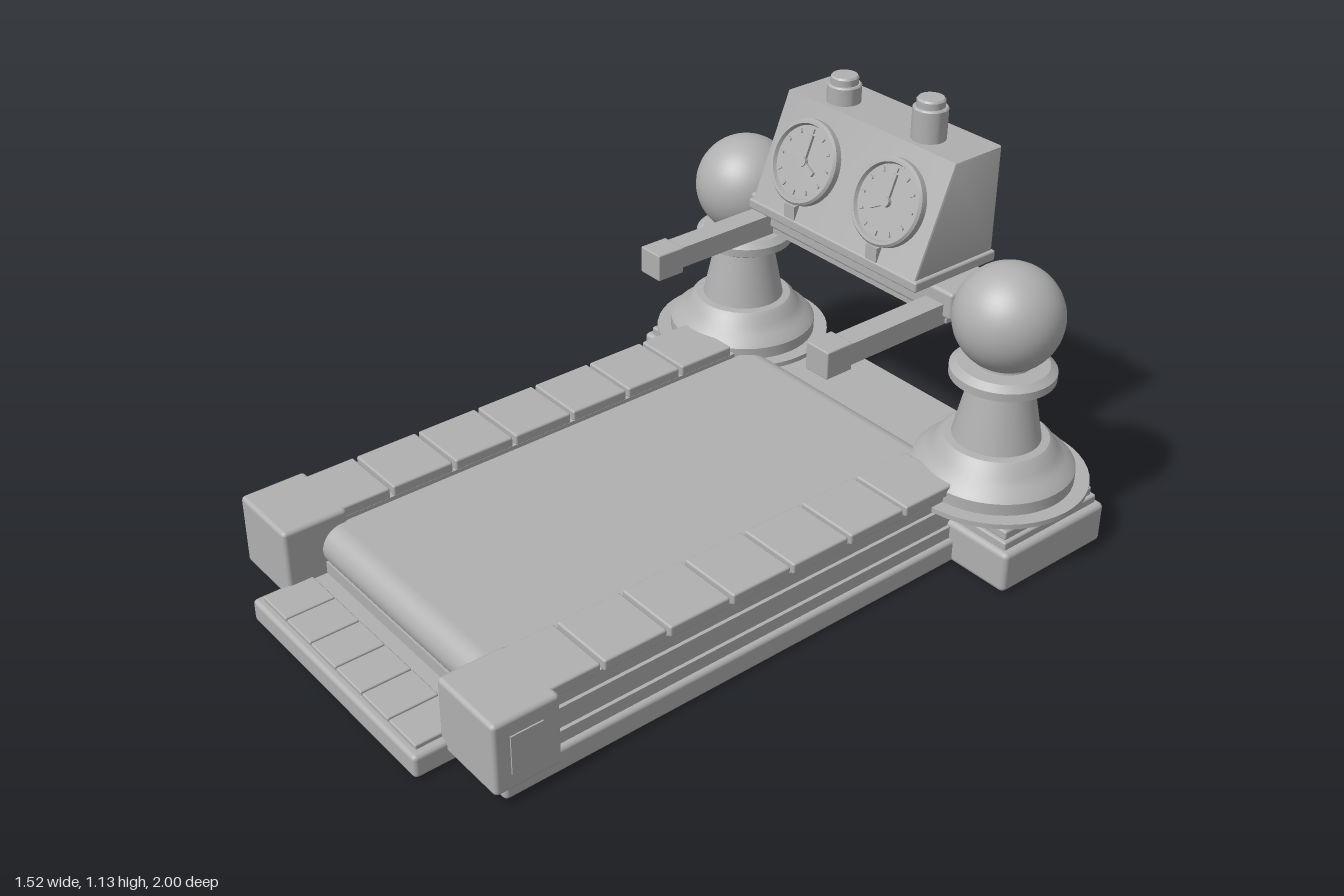
import * as THREE from 'three';
import { RoundedBoxGeometry } from 'three/addons/geometries/RoundedBoxGeometry.js';
import { toCreasedNormals } from 'three/addons/utils/BufferGeometryUtils.js';

export function createModel() {
  const grey = new THREE.MeshStandardMaterial({ color: 0xb0b0b0 });
  grey.name = 'plain grey';
  const model = new THREE.Group();
  model.name = 'treadmill';

  const add = (parent, name, geometry, x = 0, y = 0, z = 0) => {
    const mesh = new THREE.Mesh(geometry, grey);
    mesh.name = name;
    mesh.position.set(x, y, z);
    parent.add(mesh);
    return mesh;
  };
  // Box given by its limits on each axis, with softened edges when r > 0
  const block = (parent, name, [x0, x1], [y0, y1], [z0, z1], r = 0) => {
    const size = [x1 - x0, y1 - y0, z1 - z0];
    const geometry = r ? new RoundedBoxGeometry(...size, 2, r) : new THREE.BoxGeometry(...size);
    return add(parent, name, geometry, (x0 + x1) / 2, (y0 + y1) / 2, (z0 + z1) / 2);
  };
  const lathe = (points, segments = 48) => toCreasedNormals(
    new THREE.LatheGeometry(points.map(([r, y]) => new THREE.Vector2(r, y)), segments), 0.5);

  // Deck: stacked slabs
  block(model, 'deckBase', [-0.56, 0.56], [0, 0.07], [-0.6, 0.88], 0.012);
  block(model, 'deckLower', [-0.545, 0.545], [0.065, 0.105], [-0.6, 0.8]);
  block(model, 'deckMiddle', [-0.535, 0.535], [0.1, 0.135], [-0.6, 0.74]);

  // Running belt with a roller at each end
  block(model, 'belt', [-0.35, 0.35], [0.13, 0.2], [-0.62, 0.745]);
  for (const z of [-0.62, 0.745]) {
    const roller = add(model, 'roller', new THREE.CylinderGeometry(0.06, 0.06, 0.7, 32), 0, 0.14, z);
    roller.rotation.z = Math.PI / 2;
  }

  // Front step with tread tiles
  block(model, 'frontStep', [-0.375, 0.375], [0, 0.065], [0.84, 1], 0.012);
  for (let i = 0; i < 6; i++) {
    const x = -0.354 + i * 0.118;
    block(model, 'stepTile', [x + 0.002, x + 0.116], [0.06, 0.077], [0.84, 0.98], 0.004);
  }

  // Rear foot with two tiers
  block(model, 'rearFoot', [-0.74, 0.74], [0, 0.12], [-0.935, -0.55], 0.015);
  block(model, 'rearFootTier', [-0.72, 0.72], [0.115, 0.143], [-0.92, -0.565], 0.006);
  block(model, 'rearFootTop', [-0.71, 0.71], [0.14, 0.168], [-0.91, -0.575], 0.006);

  // Turned pillar profile from the wide flange to the neck
  const pillar = lathe([
    [0, 0.172], [0.255, 0.172], [0.255, 0.186], [0.215, 0.186], [0.215, 0.22], [0.203, 0.234],
    [0.185, 0.247], [0.165, 0.266], [0.153, 0.288], [0.14, 0.299], [0.118, 0.301],
    [0.086, 0.455], [0.1, 0.46], [0.14, 0.482], [0.14, 0.505], [0.12, 0.52], [0.075, 0.522], [0.07, 0.56],
  ]);

  for (const side of [-1, 1]) {
    const span = (a, b) => (side > 0 ? [a, b] : [-b, -a]);

    // Side rail, its top tiles and the front corner block
    block(model, 'sideRail', span(0.35, 0.54), [0.13, 0.168], [-0.58, 0.74]);
    block(model, 'sideRailTop', span(0.355, 0.53), [0.165, 0.208], [-0.58, 0.74]);
    for (let i = 0; i < 7; i++) {
      const z = 0.78 - (i + 1) * 0.193;
      block(model, 'railTile', span(0.355, 0.54), [0.205, 0.237], [z + 0.005, z + 0.188], 0.006);
    }
    block(model, 'cornerBlock', span(0.345, 0.567), [0.033, 0.237], [0.725, 0.91], 0.012);
    block(model, 'cornerPanel', span(0.563, 0.571), [0.08, 0.19], [0.775, 0.865]);

    // Pillar with a ball on top
    add(model, 'pillar', pillar, side * 0.507, 0, -0.743);
    add(model, 'pillarBall', new THREE.SphereGeometry(0.145, 40, 28), side * 0.507, 0.652, -0.743);

    // Handle reaching forward
    block(model, 'handle', span(0.3, 0.363), [0.595, 0.655], [-0.74, -0.32]);
    block(model, 'handleGrip', span(0.29, 0.368), [0.585, 0.662], [-0.33, -0.245], 0.004);
  }

  // Crossbar between the pillars, carrying the console
  block(model, 'crossbar', [-0.39, 0.39], [0.615, 0.693], [-0.83, -0.655], 0.01);
  block(model, 'crossbarUnderside', [-0.37, 0.37], [0.598, 0.62], [-0.82, -0.665]);
  block(model, 'consoleSill', [-0.322, 0.322], [0.69, 0.72], [-0.888, -0.59], 0.006);

  // Console: sloping side profile pulled across the width
  const b = 0.008;
  const profile = new THREE.Shape([[0.6, 0.715], [0.72, 1.007], [0.877, 1.007], [0.877, 0.715]]
    .map(([z, y]) => new THREE.Vector2(z, y)));
  const body = new THREE.ExtrudeGeometry(profile, {
    depth: 0.624 - 2 * b, bevelEnabled: true, bevelThickness: b, bevelSize: b, bevelOffset: 0, bevelSegments: 2,
  });
  body.translate(0, 0, -0.312 + b).rotateY(Math.PI / 2);
  add(model, 'consoleBody', toCreasedNormals(body, 0.6));

  // Dials: rim, face, ticks and two hands
  const rim = lathe([[0, 0], [0.118, 0], [0.118, 0.02], [0.112, 0.027], [0.104, 0.027], [0.1, 0.016], [0, 0.016]])
    .rotateX(Math.PI / 2);
  const dials = [{ x: -0.16, angle: -2.0 }, { x: 0.155, angle: 2.1 }];
  for (const { x, angle } of dials) {
    const dial = new THREE.Group();
    dial.name = 'dial';
    dial.position.set(x, 0.866, -0.655);
    dial.rotation.x = -0.39;
    model.add(dial);
    add(dial, 'dialRim', rim);
    for (let i = 0; i < 12; i++) {
      const a = i * Math.PI / 6;
      const tick = add(dial, 'tick', new THREE.BoxGeometry(0.005, 0.013, 0.006),
        Math.sin(a) * 0.086, Math.cos(a) * 0.086, 0.018);
      tick.rotation.z = -a;
    }
    const hand = (name, length, turn) => {
      const geometry = new THREE.BoxGeometry(0.013, length, 0.008).translate(0, length / 2, 0);
      add(dial, name, geometry, 0, 0, 0.02).rotation.z = turn;
    };
    hand('longHand', 0.075, 0);
    hand('shortHand', 0.052, angle);
    const hub = add(dial, 'dialHub', new THREE.CylinderGeometry(0.014, 0.014, 0.014, 20), 0, 0, 0.021);
    hub.rotation.x = Math.PI / 2;
    block(model, 'dialStem', [x - 0.02, x + 0.02], [0.715, 0.76], [-0.62, -0.592]);
  }

  // Push buttons of two heights
  for (const [x, height] of [[-0.16, 0.052], [0.155, 0.09]]) {
    add(model, 'button', lathe([
      [0.047, 0], [0.047, height - 0.004], [0.043, height], [0.038, height],
      [0.038, height + 0.018], [0.034, height + 0.023], [0, height + 0.023],
    ], 32), x, 1.014, -0.777);
  }

  return model;
}
